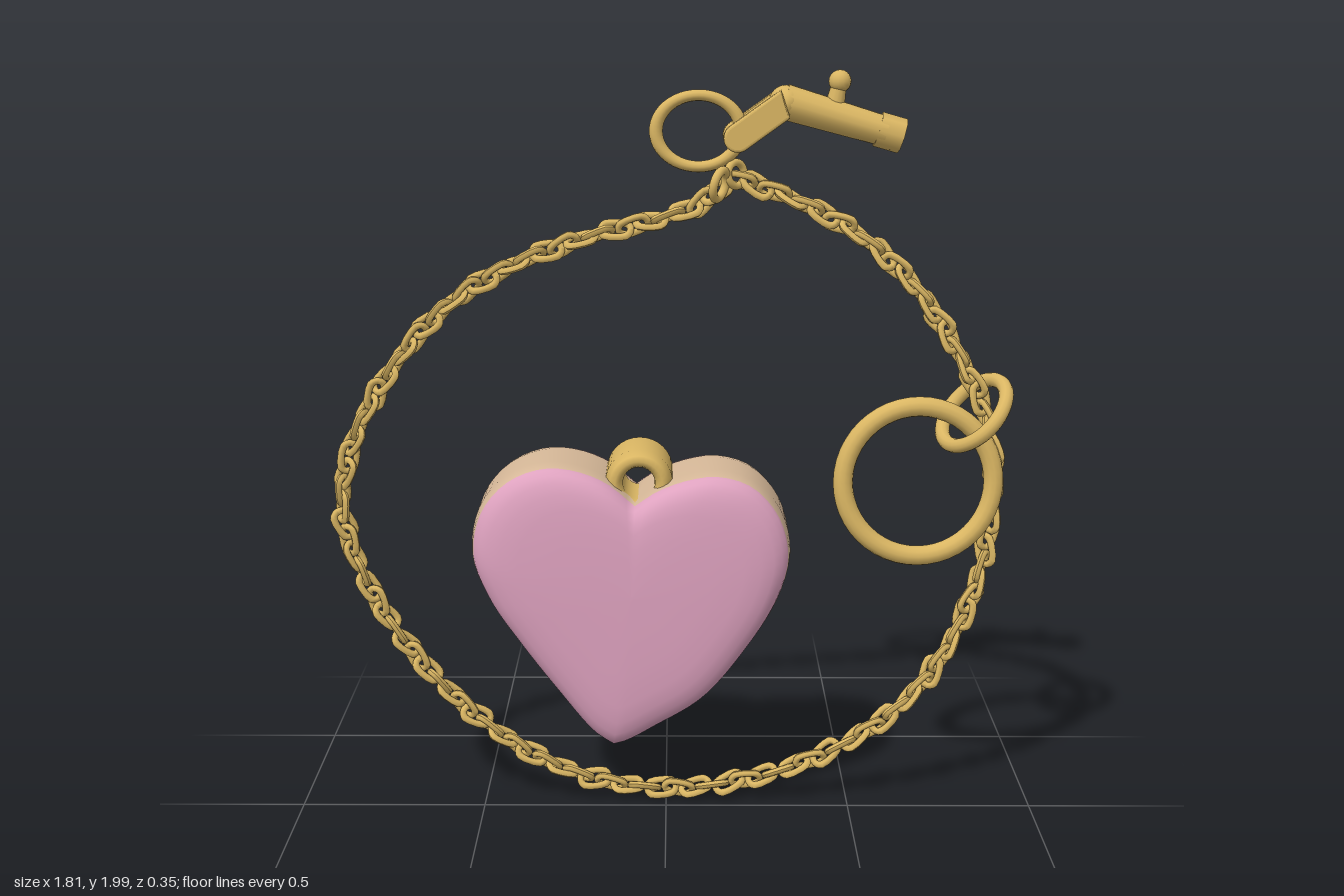
import * as THREE from 'three';
import { mergeGeometries } from 'three/addons/utils/BufferGeometryUtils.js';

const gold = new THREE.MeshStandardMaterial({ color: 0xdab663 });
gold.name = 'gold';
const pink = new THREE.MeshStandardMaterial({ color: 0xdea2bf });
pink.name = 'pink enamel';
const beige = new THREE.MeshStandardMaterial({ color: 0xd6b898 });
beige.name = 'beige rim';

const V = (x, y, z = 0) => new THREE.Vector3(x, y, z);

function add(parent, name, geometry, material = gold) {
  const mesh = new THREE.Mesh(geometry, material);
  mesh.name = name;
  parent.add(mesh);
  return mesh;
}

// Round ring facing along a normal
function ring(parent, name, centre, radius, tube, normal) {
  const m = add(parent, name, new THREE.TorusGeometry(radius, tube, 12, 48));
  m.position.copy(centre);
  m.quaternion.setFromUnitVectors(V(0, 0, 1), normal.clone().normalize());
  return m;
}

// Round bar between two points, optionally widened in z
function bar(parent, name, a, b, r0, r1 = r0, widen = 1, sides = 14) {
  const g = new THREE.CylinderGeometry(r1, r0, a.distanceTo(b), sides).scale(1, 1, widen);
  const m = add(parent, name, g);
  m.position.copy(a).lerp(b, 0.5);
  m.quaternion.setFromUnitVectors(V(0, 1, 0), b.clone().sub(a).normalize());
  return m;
}

// Puffed heart: one outline, scaled ring by ring from back to front
function heartGeometry() {
  const right = [[-0.08, 0.9], [-0.02, 0.94], [0.06, 0.97], [0.14, 0.98], [0.23, 0.952], [0.302, 0.87], [0.328, 0.76],
    [0.298, 0.64], [0.215, 0.5], [0.1, 0.362], [-0.03, 0.28], [-0.105, 0.238], [-0.14, 0.228]];
  const left = [[-0.14, 0.228], [-0.19, 0.262], [-0.29, 0.385], [-0.39, 0.52], [-0.468, 0.64], [-0.51, 0.76],
    [-0.488, 0.88], [-0.42, 0.962], [-0.33, 1], [-0.25, 0.998], [-0.16, 0.965], [-0.08, 0.9]];
  const half = pts => new THREE.CatmullRomCurve3(pts.map(p => V(...p))).getSpacedPoints(44).slice(0, -1);
  const outline = [...half(right), ...half(left)].reverse(); // counter-clockwise from the front
  const n = outline.length, cx = -0.09, cy = 0.66;
  const dome = [[0.127, 0.972], [0.142, 0.94], [0.154, 0.89], [0.163, 0.81], [0.169, 0.7],
    [0.173, 0.5], [0.175, 0.27], [0.176, 0.02]];
  const rows = [...dome.map(([z, s]) => [-z, s]).reverse(), [-0.105, 0.989], [-0.07, 1], [0.07, 1],
    [0.105, 0.989], [0.118, 0.98], ...dome];
  const pos = [], index = [];
  for (const [z, s] of rows)
    for (const p of outline) pos.push(cx + (p.x - cx) * s, cy + (p.y - cy) * s, z);
  for (let r = 0; r < rows.length - 1; r++)
    for (let i = 0; i < n; i++) {
      const a = r * n + i, b = r * n + (i + 1) % n, c = a + n, d = b + n;
      index.push(a, b, d, a, d, c);
    }
  // close the small middle of each face
  const last = (rows.length - 1) * n;
  for (let i = 1; i < n - 1; i++) index.push(0, i + 1, i, last, last + i, last + i + 1);
  const g = new THREE.BufferGeometry();
  g.setAttribute('position', new THREE.Float32BufferAttribute(pos, 3));
  g.setIndex(index);
  g.computeVertexNormals();
  // pink faces on both sides of the beige rim
  const rim0 = dome.length * n * 6, rim1 = rim0 + 4 * n * 6;
  g.addGroup(0, rim0, 0);
  g.addGroup(rim0, rim1 - rim0, 1);
  g.addGroup(rim1, index.length - rim1, 0);
  return g;
}

// Oval chain link: a torus stretched along x
function linkGeometry(radius, tube, stretch) {
  const g = new THREE.TorusGeometry(radius, tube, 7, 18);
  const p = g.attributes.position;
  for (let i = 0; i < p.count; i++) {
    const x = p.getX(i);
    p.setX(i, x + stretch * THREE.MathUtils.clamp(x / (radius * 0.5), -1, 1));
  }
  g.computeVertexNormals();
  return g;
}

// Overlapping links along the loop, each rolled a quarter turn from the last
function chainGeometry() {
  const path = new THREE.CatmullRomCurve3([[0.19, 1.72], [0.32, 1.675], [0.5, 1.578], [0.65, 1.443], [0.76, 1.28],
    [0.835, 1.13], [0.87, 0.98], [0.868, 0.8], [0.83, 0.61], [0.755, 0.43], [0.64, 0.28], [0.5, 0.175], [0.3, 0.085],
    [0.1, 0.043], [-0.05, 0.04], [-0.2, 0.065], [-0.4, 0.155], [-0.6, 0.325], [-0.74, 0.505], [-0.83, 0.68],
    [-0.868, 0.83], [-0.835, 1.02], [-0.725, 1.22], [-0.58, 1.385], [-0.4, 1.498], [-0.2, 1.572], [0, 1.625],
    [0.09, 1.66], [0.13, 1.69]].map(([x, y]) => V(x, y, -0.05 + 0.006 * x)));
  path.arcLengthDivisions = 1000;
  const count = Math.round(path.getLength() / 0.047);
  const links = [];
  for (let i = 0; i <= count; i++) {
    const t = path.getTangentAt(i / count), z = V(0, 0, 1);
    const side = z.clone().cross(t).normalize();
    const up = t.clone().cross(side);
    const m = new THREE.Matrix4().makeBasis(t, side, up);
    m.multiply(new THREE.Matrix4().makeRotationX(Math.PI * (0.25 + 0.5 * (i % 2)) + 0.4 * Math.sin(i * 1.7)));
    m.multiply(new THREE.Matrix4().makeRotationZ(0.25 + 0.12 * Math.sin(i * 2.3)));
    m.setPosition(path.getPointAt(i / count));
    links.push(linkGeometry(0.0215, 0.0095, 0.018).applyMatrix4(m));
  }
  return mergeGeometries(links);
}

function createClasp() {
  const clasp = new THREE.Group();
  clasp.name = 'clasp';
  clasp.position.z = -0.032;

  // forked jaw: two cheeks under a top plate
  const jaw = new THREE.Group();
  jaw.name = 'claspJaw';
  jaw.position.set(0.182, 1.832, 0);
  jaw.rotation.z = 0.63;
  const cheek = new THREE.Shape();
  cheek.absarc(0, 0, 0.029, Math.PI / 2, Math.PI * 1.5);
  cheek.lineTo(0.13, -0.03);
  cheek.lineTo(0.15, 0.028);
  cheek.closePath();
  const cheekGeometry = new THREE.ExtrudeGeometry(cheek, {
    depth: 0.022, bevelThickness: 0.007, bevelSize: 0.007, bevelSegments: 3, curveSegments: 10 });
  for (const z of [-0.058, 0.036])
    add(jaw, 'jawCheek', cheekGeometry).position.z = z;
  add(jaw, 'jawTopPlate', new THREE.BoxGeometry(0.12, 0.02, 0.1)).position.set(0.09, 0.023, 0);
  add(jaw, 'jawHeel', new THREE.BoxGeometry(0.06, 0.06, 0.1)).position.set(0.11, 0, 0);
  add(jaw, 'jawPin', new THREE.CylinderGeometry(0.016, 0.016, 0.13, 12).rotateX(Math.PI / 2));
  clasp.add(jaw);

  // sloping barrel with collar and thumb knob
  add(clasp, 'elbow', new THREE.SphereGeometry(0.044, 16, 12)).position.set(0.305, 1.918, 0);
  clasp.getObjectByName('elbow').scale.z = 1.3;
  bar(clasp, 'barrel', V(0.3, 1.92), V(0.56, 1.845), 0.046, 0.039, 1.2);
  bar(clasp, 'endCollar', V(0.54, 1.851), V(0.603, 1.833), 0.045, 0.045, 1.08, 8);
  bar(clasp, 'knobStem', V(0.425, 1.89), V(0.439, 1.965), 0.028, 0.019);
  add(clasp, 'knob', new THREE.SphereGeometry(0.029, 14, 10)).position.set(0.441, 1.971, 0);
  return clasp;
}

export function createModel() {
  const model = new THREE.Group();
  model.name = 'heartCharmBracelet';

  add(model, 'heart', heartGeometry(), [pink, beige]);

  // rounded tube bail in the notch of the heart
  const bail = [[0.042, -0.075], [0.05, -0.093], [0.062, -0.1], [0.076, -0.094], [0.088, -0.07], [0.088, 0.07],
    [0.076, 0.094], [0.062, 0.1], [0.05, 0.093], [0.042, 0.075], [0.042, -0.075]];
  const bailGeometry = new THREE.LatheGeometry(bail.map(p => new THREE.Vector2(...p)), 32).rotateX(Math.PI / 2);
  add(model, 'bail', bailGeometry).position.set(-0.07, 0.947, 0.002);

  add(model, 'chain', chainGeometry());

  // loose rings
  ring(model, 'largeRing', V(0.668, 0.93, -0.005), 0.2, 0.0265, V(0.03, 0.09, 1));
  ring(model, 'connectorRing', V(0.815, 1.107, -0.05), 0.106, 0.0195, V(0.69, -0.65, -0.32));
  ring(model, 'claspRing', V(0.083, 1.845, -0.042), 0.109, 0.0175, V(0, 0, 1)).scale.set(1, 0.83, 1);
  ring(model, 'endRing', V(0.137, 1.713, 0.003), 0.037, 0.0115, V(0.85, -0.2, 0.4));
  ring(model, 'startRing', V(0.18, 1.735, -0.045), 0.03, 0.0105, V(0.7, 0.1, 0.7));

  model.add(createClasp());
  return model;
}
